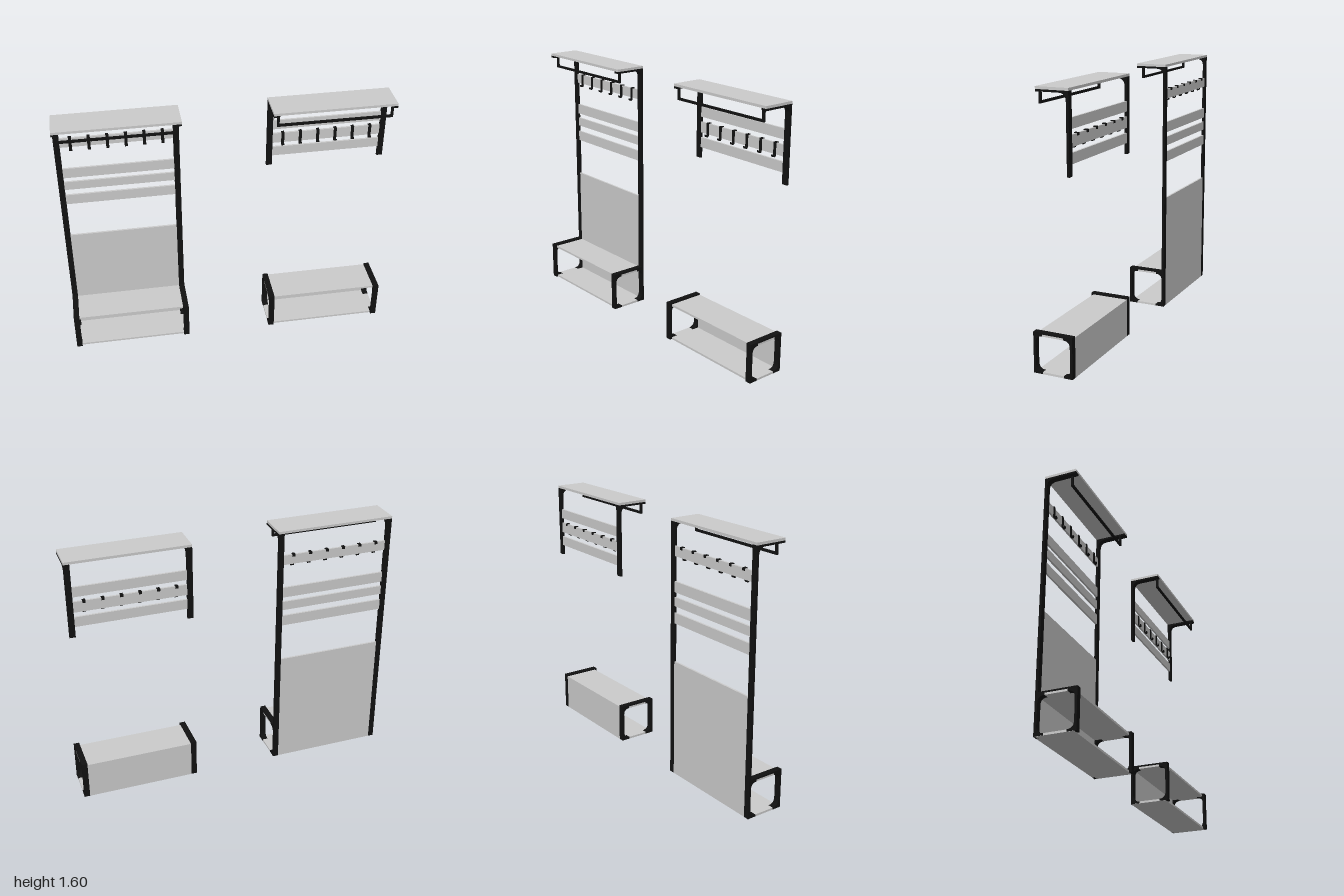
import * as THREE from 'three';

const grey = new THREE.MeshStandardMaterial({ color: 0xcccccc });
const black = new THREE.MeshStandardMaterial({ color: 0x111111 });

const HALF = 0.3675;   // half width of one unit
const POST = 0.035;    // width of the flat metal profiles
const INNER = HALF - POST;
const BACK = -0.12;    // rear plane
const TOP = 1.58;      // underside of the hat shelf

// Box given by its limits
function box(parent, name, mat, x0, x1, y0, y1, z0, z1) {
  const mesh = new THREE.Mesh(new THREE.BoxGeometry(x1 - x0, y1 - y0, z1 - z0), mat);
  mesh.position.set((x0 + x1) / 2, (y0 + y1) / 2, (z0 + z1) / 2);
  mesh.name = name;
  parent.add(mesh);
}

// Side profile (z, y) extruded along x, centred on x
function profile(parent, name, shape, x, width) {
  const geo = new THREE.ExtrudeGeometry(shape, { depth: width, bevelEnabled: false, curveSegments: 8 });
  geo.rotateY(-Math.PI / 2);
  geo.translate(x + width / 2, 0, 0);
  const mesh = new THREE.Mesh(geo, black);
  mesh.name = name;
  parent.add(mesh);
}

// Post bent forward at the top into a shelf arm
function postShape(bottom) {
  const s = new THREE.Shape();
  s.moveTo(BACK, bottom);
  s.lineTo(-0.105, bottom);
  s.lineTo(-0.105, TOP - 0.055);
  s.quadraticCurveTo(-0.105, TOP - 0.012, -0.062, TOP - 0.012);
  s.lineTo(0.075, TOP - 0.012);
  s.lineTo(0.075, TOP);
  s.lineTo(BACK, TOP);
  s.closePath();
  return s;
}

// Bench end loop, open underneath between its two feet
function benchShape() {
  const s = new THREE.Shape();
  s.moveTo(-0.065, 0.001);
  s.lineTo(-0.065, 0.013);
  s.quadraticCurveTo(-0.105, 0.013, -0.105, 0.055);
  s.lineTo(-0.105, 0.185);
  s.quadraticCurveTo(-0.105, 0.222, -0.065, 0.222);
  s.lineTo(-0.065, 0.234);
  s.lineTo(0.067, 0.234);
  s.lineTo(0.067, 0.222);
  s.quadraticCurveTo(0.108, 0.222, 0.108, 0.185);
  s.lineTo(0.108, 0.055);
  s.quadraticCurveTo(0.108, 0.013, 0.067, 0.013);
  s.lineTo(0.067, 0.001);
  s.lineTo(0.122, 0.001);
  s.lineTo(0.122, 0.244);
  s.lineTo(BACK, 0.244);
  s.lineTo(BACK, 0.001);
  s.closePath();
  return s;
}

// Flat strap clipped over a slat and curled forward at the bottom
function hookShape(top) {
  const s = new THREE.Shape();
  s.moveTo(-0.124, top - 0.012);
  s.lineTo(-0.120, top - 0.012);
  s.lineTo(-0.120, top);
  s.lineTo(-0.106, top);
  s.lineTo(-0.106, top - 0.065);
  s.quadraticCurveTo(-0.106, top - 0.079, -0.095, top - 0.079);
  s.quadraticCurveTo(-0.086, top - 0.079, -0.086, top - 0.065);
  s.lineTo(-0.090, top - 0.065);
  s.quadraticCurveTo(-0.091, top - 0.075, -0.096, top - 0.075);
  s.quadraticCurveTo(-0.102, top - 0.075, -0.102, top - 0.062);
  s.lineTo(-0.102, top + 0.004);
  s.lineTo(-0.124, top + 0.004);
  s.closePath();
  return s;
}

function addBench(unit) {
  const bench = new THREE.Group();
  bench.name = 'bench';
  for (const side of [-1, 1]) profile(bench, 'benchFrame', benchShape(), side * (HALF - POST / 2), POST);
  const w = HALF - 0.001;
  box(bench, 'benchSeat', grey, -w, w, 0.222, 0.235, -0.112, 0.108);
  box(bench, 'bottomShelf', grey, -w, w, 0, 0.0125, -0.112, 0.108);
  unit.add(bench);
}

function addRack(unit, bottom, slats, hookTop, railZ) {
  const rack = new THREE.Group();
  rack.name = 'coatRack';
  for (const side of [-1, 1]) profile(rack, 'post', postShape(bottom), side * (HALF - POST / 2), POST);
  box(rack, 'hatShelf', grey, -HALF, HALF, TOP, TOP + 0.015, BACK, 0.075);
  for (const [y0, y1] of slats) box(rack, 'slat', grey, -INNER, INNER, y0, y1, -0.119, -0.107);
  for (let i = 0; i < 6; i++) profile(rack, 'hook', hookShape(hookTop), (i - 2.5) * 0.108, 0.018);

  // Hanging rail below the shelf
  const e = HALF - 0.022, t = 0.013;
  box(rack, 'rail', black, -e, e, 1.503, 1.516, railZ - t / 2, railZ + t / 2);
  for (const side of [-1, 1]) {
    const x = side * (e - t / 2);
    box(rack, 'railHanger', black, x - t / 2, x + t / 2, 1.503, TOP, railZ - t / 2, railZ + t / 2);
  }
  unit.add(rack);
}

export function createModel() {
  const model = new THREE.Group();
  model.name = 'hallwaySet';

  // Tall unit: bench, full-height posts, back panel
  const tall = new THREE.Group();
  tall.name = 'tallUnit';
  tall.position.x = HALF - 1;
  addBench(tall);
  addRack(tall, 0, [[0.975, 1.04], [1.08, 1.135], [1.165, 1.23], [1.38, 1.44]], 1.44, 0.042);
  box(tall, 'backPanel', grey, -INNER, INNER, 0, 0.735, -0.119, -0.107);
  model.add(tall);

  // Split unit: wall rack above a separate bench
  const split = new THREE.Group();
  split.name = 'splitUnit';
  split.position.x = 1 - HALF;
  addBench(split);
  addRack(split, 1.13, [[1.195, 1.255], [1.285, 1.35], [1.38, 1.44]], 1.35, 0.061);
  box(split, 'benchBack', grey, -INNER, INNER, 0, 0.235, -0.119, -0.107);
  model.add(split);

  return model;
}
